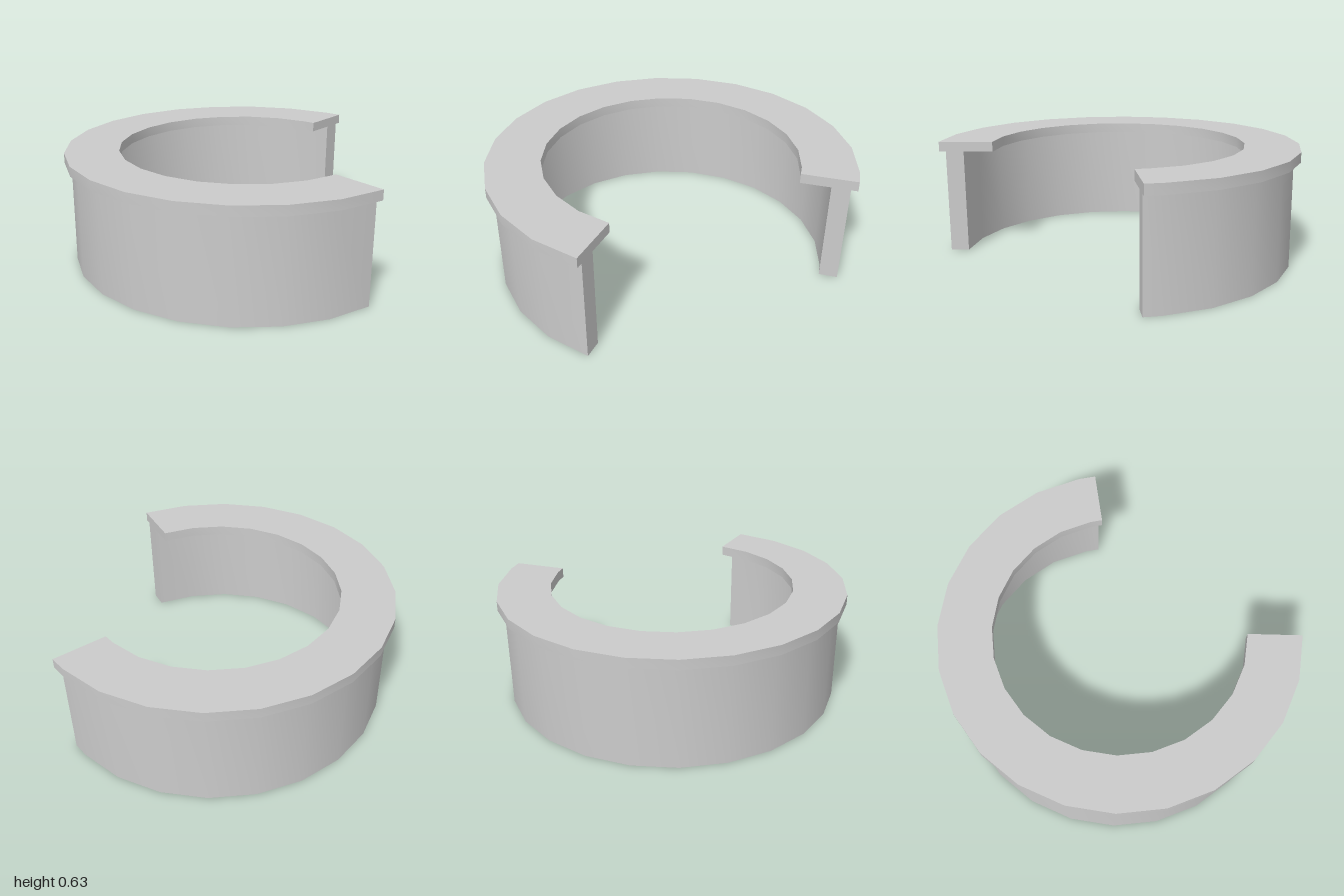
import * as THREE from 'three';
import { toCreasedNormals } from 'three/addons/utils/BufferGeometryUtils.js';

const CENTER_X = 0.17;
const START = 50.4, END = 311, STEP = 15; // degrees from +x towards +z

// Open ring of 15 degree facets, the last one cut short at the gap
function openRing(name, outer, inner, bottom, top, material) {
  const angles = [];
  for (let a = START; a < END; a += STEP) angles.push(a);
  angles.push(END);
  const arc = (r) => angles.map((deg) => {
    const a = THREE.MathUtils.degToRad(deg);
    return new THREE.Vector2(CENTER_X + r * Math.cos(a), -r * Math.sin(a));
  });
  const shape = new THREE.Shape([...arc(outer), ...arc(inner).reverse()]);
  const geometry = new THREE.ExtrudeGeometry(shape, { depth: top - bottom, bevelEnabled: false });
  geometry.rotateX(-Math.PI / 2);
  geometry.translate(0, bottom, 0);
  const mesh = new THREE.Mesh(toCreasedNormals(geometry, 0.5), material);
  mesh.name = name;
  return mesh;
}

export function createModel() {
  const group = new THREE.Group();
  group.name = 'openFlangedRing';
  const material = new THREE.MeshStandardMaterial({ color: 0xcccccc });
  // Upright wall, and the wider flat flange on top of it
  group.add(openRing('wall', 0.963, 0.863, 0, 0.575, material));
  group.add(openRing('topFlange', 1, 0.7, 0.575, 0.63, material));
  return group;
}
